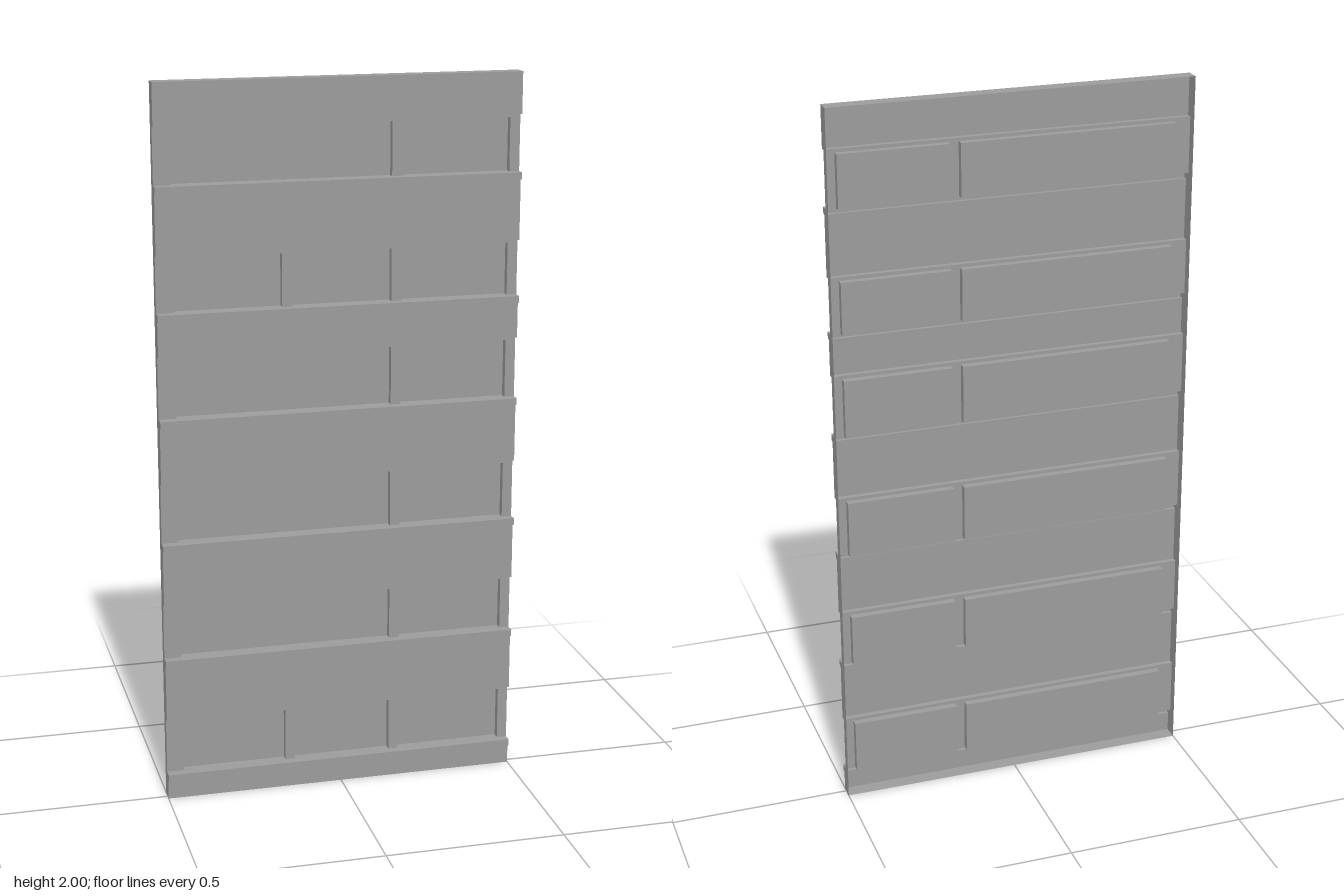
import * as THREE from 'three';

const BACK = -0.026, GLASS = -0.02, FRAME = 0, WALL = 0.015, SILL = 0.025;
const HALF = 0.5, HEIGHT = 2;
const SILL_H = 0.019, HEAD_GAP = 0.009;

// Window rows from top to bottom: head height, sill top, pane count
const rows = [
  { head: 1.886, sill: 1.731, panes: 2 },
  { head: 1.545, sill: 1.391, panes: 3 },
  { head: 1.272, sill: 1.101, panes: 2 },
  { head: 0.918, sill: 0.751, panes: 2 },
  { head: 0.572, sill: 0.416, panes: 2 },
  { head: 0.235, sill: 0.075, panes: 3 },
];
// Glazed bays as [left edge, right edge]
const bays = [[-0.452, 0.144], [0.172, 0.472]];

const material = new THREE.MeshStandardMaterial({ color: 0x9b9b9b, side: THREE.DoubleSide });

function add(group, name, geometry) {
  const mesh = new THREE.Mesh(geometry, material);
  mesh.name = name;
  group.add(mesh);
  return mesh;
}

// Sweeps an open [y, z] profile across the full width, with sharp folds
function ribbon(profile) {
  const pos = [];
  for (let i = 0; i < profile.length - 1; i++) {
    const [ya, za] = profile[i], [yb, zb] = profile[i + 1];
    pos.push(-HALF, ya, za, -HALF, yb, zb, HALF, yb, zb);
    pos.push(-HALF, ya, za, HALF, yb, zb, HALF, ya, za);
  }
  const g = new THREE.BufferGeometry();
  g.setAttribute('position', new THREE.Float32BufferAttribute(pos, 3));
  g.computeVertexNormals();
  return g;
}

function rectPoints(x0, x1, y0, y1) {
  return [[x0, y0], [x1, y0], [x1, y1], [x0, y1]].map(([x, y]) => new THREE.Vector2(x, y));
}

// Recessed tray: a box without its front face
function tray(x0, x1, y0, y1) {
  const g = new THREE.BoxGeometry(x1 - x0, y1 - y0, FRAME - GLASS);
  const index = Array.from(g.index.array);
  index.splice(24, 6);
  g.setIndex(index);
  g.clearGroups();
  g.translate((x0 + x1) / 2, (y0 + y1) / 2, (FRAME + GLASS) / 2);
  return g;
}

export function createModel() {
  const model = new THREE.Group();
  model.name = 'facadePanel';

  // Top band, folded back over the top edge
  add(model, 'topBand', ribbon([[HEIGHT, BACK], [HEIGHT, WALL], [rows[0].head, WALL], [rows[0].head, FRAME]]));

  // Stepped outline of the panel's ends, collected row by row
  const edge = [[BACK, 0], [BACK, HEIGHT], [WALL, HEIGHT]];

  rows.forEach(({ head, sill, panes }, i) => {
    const row = new THREE.Group();
    row.name = 'windowRow' + (i + 1);
    model.add(row);
    const top = head - HEAD_GAP, under = sill - SILL_H;

    // Frame with an opening for each bay
    const frame = new THREE.Shape(rectPoints(-HALF, HALF, sill, head));
    for (const [x0, x1] of bays) {
      frame.holes.push(new THREE.Path(rectPoints(x0, x1, sill, top).reverse()));
      add(row, 'recessedPane', tray(x0, x1, sill, top));
    }
    add(row, 'windowFrame', new THREE.ShapeGeometry(frame).translate(0, 0, FRAME));

    // Extra mullion dividing the wide bay
    if (panes === 3) {
      add(row, 'mullion', new THREE.BoxGeometry(0.028, top - sill, FRAME - GLASS))
        .position.set(-0.145, (top + sill) / 2, (FRAME + GLASS) / 2);
    }

    // Projecting sill and the wall band below it
    add(row, 'sill', ribbon([[sill, FRAME], [sill, SILL], [under, SILL], [under, WALL]]));
    const next = rows[i + 1];
    add(row, 'wallBand', ribbon(next
      ? [[under, WALL], [next.head, WALL], [next.head, FRAME]]
      : [[under, WALL], [0, WALL], [0, BACK]]));

    edge.push([WALL, head], [FRAME, head], [FRAME, sill], [SILL, sill], [SILL, under], [WALL, under]);
  });
  edge.push([WALL, 0]);

  // End walls
  const outline = new THREE.Shape(edge.map(([z, y]) => new THREE.Vector2(z, y)));
  for (const side of [-1, 1]) {
    const end = new THREE.ShapeGeometry(outline).rotateY(-Math.PI / 2);
    add(model, side > 0 ? 'leftEnd' : 'rightEnd', end).position.x = side * HALF;
  }
  return model;
}
